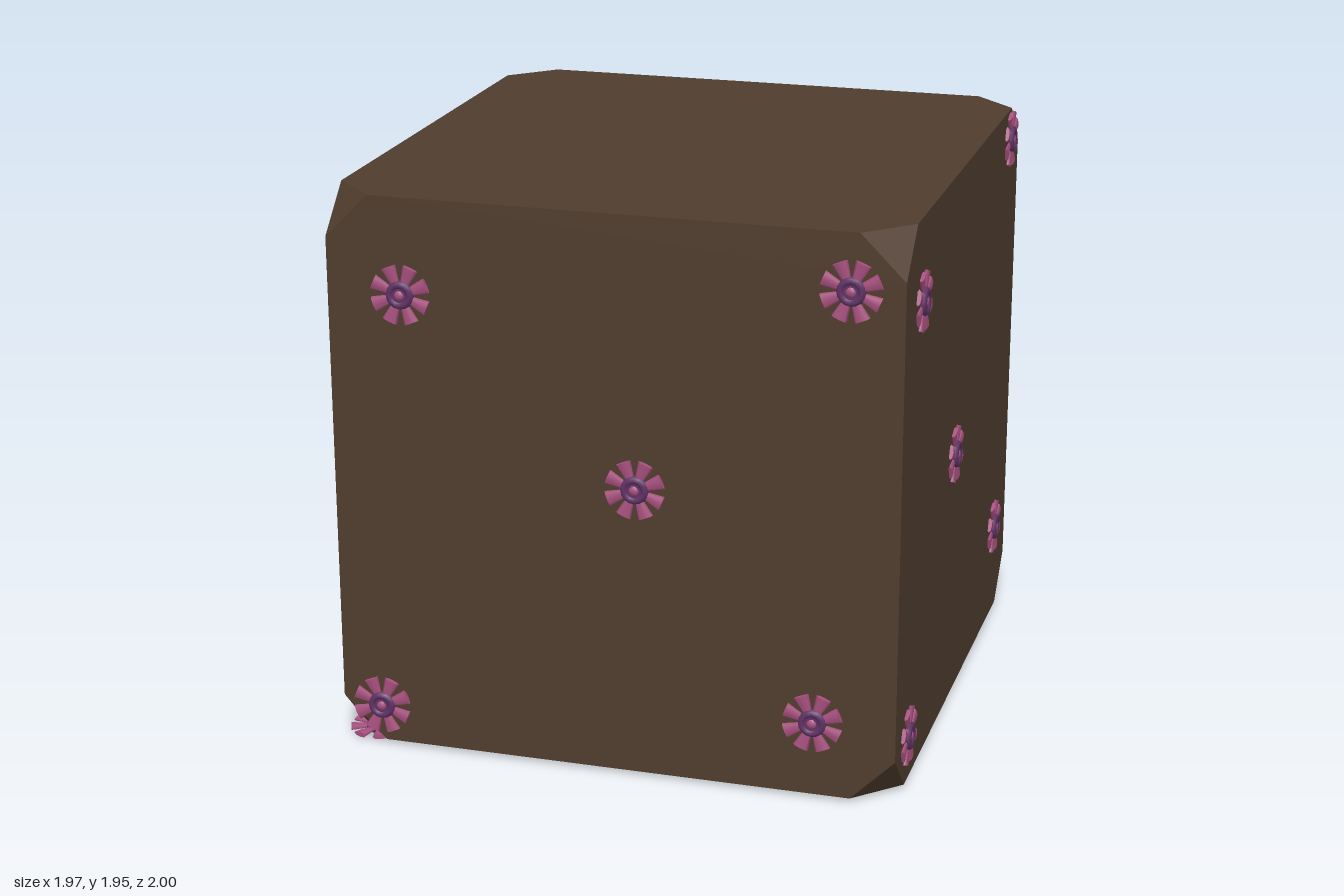
import * as THREE from 'three';
import { ConvexGeometry } from 'three/addons/geometries/ConvexGeometry.js';

const H = 0.965; // half size of the block
const CUT = 0.15; // corner cut
const CY = 0.016 + H; // height of the block centre

const mat = (name, color) => {
  const m = new THREE.MeshStandardMaterial({ color });
  m.name = name;
  return m;
};

export function createModel() {
  const brown = mat('brown', 0x503d2e);
  const pink = mat('pink', 0xa8507f);
  const purple = mat('purple', 0x5f3264);

  const model = new THREE.Group();
  model.name = 'flowerBlock';

  // Cube with all eight corners cut off
  const pts = [];
  for (const x of [-1, 1]) for (const y of [-1, 1]) for (const z of [-1, 1]) {
    const c = H - CUT;
    pts.push(
      new THREE.Vector3(x * c, y * H, z * H),
      new THREE.Vector3(x * H, y * c, z * H),
      new THREE.Vector3(x * H, y * H, z * c)
    );
  }
  const block = new THREE.Mesh(new ConvexGeometry(pts), brown);
  block.name = 'block';
  block.position.y = CY;
  model.add(block);

  // Flower parts, facing +z, about 0.034 thick
  const petalGeo = new THREE.CylinderGeometry(0.027, 0.015, 0.058, 8);
  petalGeo.scale(1, 1, 0.34).translate(0, 0.07, 0.017);
  const ringGeo = new THREE.TorusGeometry(0.035, 0.014, 8, 16);
  ringGeo.scale(1, 1, 1.15).translate(0, 0, 0.017);
  const discGeo = new THREE.CylinderGeometry(0.035, 0.035, 0.02, 16);
  discGeo.rotateX(Math.PI / 2).translate(0, 0, 0.017);
  const budGeo = new THREE.SphereGeometry(0.021, 10, 8);
  budGeo.scale(1, 1, 0.8).translate(0, 0, 0.017);

  const makeFlower = () => {
    const flower = new THREE.Group();
    flower.name = 'flower';
    const add = (name, geo, material, turn = 0) => {
      const m = new THREE.Mesh(geo, material);
      m.name = name;
      m.rotation.z = turn;
      flower.add(m);
    };
    for (let i = 0; i < 8; i++) add('petal', petalGeo, pink, (i + 0.5) * Math.PI / 4);
    add('ring', ringGeo, purple);
    add('disc', discGeo, purple);
    add('bud', budGeo, pink);
    return flower;
  };

  // Faces: rotation, and spots as [across, up, sink] in the plane of the face
  const q = Math.PI / 2;
  const faces = [
    { name: 'frontFlowers', rot: [0, 0, 0], sink: 0,
      at: (a, b, d) => [a, b, d],
      spots: [[-0.705, 1.623], [0.794, 1.76], [0.087, 1.03], [0.689, 0.28], [-0.82, 0.153]] },
    { name: 'leftFlowers', rot: [0, q, 0], sink: 0.012,
      at: (a, b, d) => [d, b, a],
      spots: [[0.713, 1.665], [-0.796, 1.836], [0.093, 0.934], [-0.718, 0.361], [0.777, 0.179]] },
    { name: 'backFlowers', rot: [0, Math.PI, 0], sink: 0.014,
      at: (a, b, d) => [a, b, -d],
      spots: [[0.72, 1.122], [-0.677, 1.707, 0], [-0.735, 0.361]] },
    { name: 'rightFlowers', rot: [0, -q, 0], sink: 0.012,
      at: (a, b, d) => [-d, b, a],
      spots: [[0.576, 1.084], [-0.69, 0.303]] },
    { name: 'bottomFlowers', rot: [q, 0, 0], sink: 0.018,
      at: (a, b, d) => [a, CY - d, b],
      spots: [[-0.88, 0.866], [0.37, -0.67]] }
  ];
  for (const face of faces) {
    const group = new THREE.Group();
    group.name = face.name;
    for (const [a, b, sink = face.sink] of face.spots) {
      const flower = makeFlower();
      flower.rotation.set(...face.rot);
      flower.position.set(...face.at(a, b, H - sink));
      group.add(flower);
    }
    model.add(group);
  }
  return model;
}
